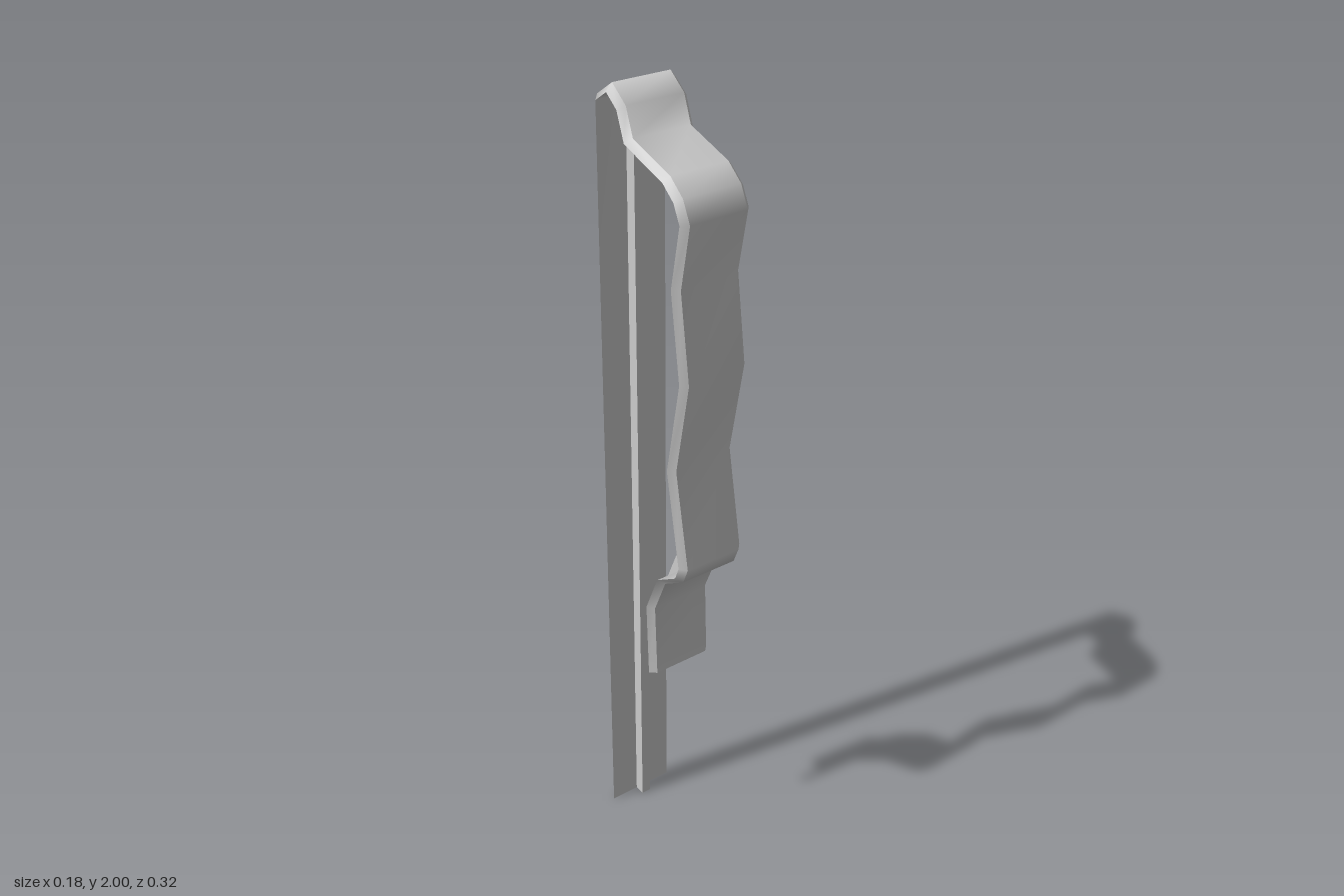
import * as THREE from 'three';
import { mergeGeometries } from 'three/addons/utils/BufferGeometryUtils.js';

const material = new THREE.MeshStandardMaterial({ color: 0xcccccc, side: THREE.DoubleSide });

// Sweeps a four-sided section along a [z, y] path. Depths d0..d1 are measured
// inward from the path; w0 and w1 are the half widths at those depths.
function sweep(path, w0, w1, d0, d1) {
  const dirs = path.slice(1).map((p, i) =>
    new THREE.Vector2(p[0] - path[i][0], p[1] - path[i][1]).normalize());
  const inward = (d) => new THREE.Vector2(d.y, -d.x);
  const rings = path.map(([z, y], i) => {
    const a = inward(dirs[Math.max(i - 1, 0)]);
    const b = inward(dirs[Math.min(i, dirs.length - 1)]);
    const n = a.clone().add(b).divideScalar(1 + a.dot(b)); // mitred corner
    return [[-w0, d0], [w0, d0], [w1, d1], [-w1, d1]]
      .map(([x, d]) => [x, y + n.y * d, z + n.x * d]);
  });
  const build = (points, index) => {
    const g = new THREE.BufferGeometry();
    g.setAttribute('position', new THREE.Float32BufferAttribute(points.flat(), 3));
    g.setIndex(index);
    g.computeVertexNormals();
    return g;
  };
  const parts = [];
  // Each side has its own vertices: smooth along the strip, sharp across it
  for (let s = 0; s < 4; s++) {
    const points = [], index = [];
    rings.forEach((r, i) => {
      points.push(r[s], r[(s + 1) % 4]);
      const k = i * 2;
      if (i < rings.length - 1) index.push(k, k + 2, k + 1, k + 1, k + 2, k + 3);
    });
    parts.push(build(points, index));
  }
  parts.push(build(rings[0], [0, 1, 2, 0, 2, 3]));
  parts.push(build(rings[rings.length - 1], [0, 2, 1, 0, 3, 2]));
  return mergeGeometries(parts);
}

export function createModel() {
  const group = new THREE.Group();
  const add = (name, geometry) => {
    const mesh = new THREE.Mesh(geometry, material);
    mesh.name = name;
    group.add(mesh);
  };

  // Outer line of the bent strip: [z, y]
  const back = [[-0.162, 0], [-0.162, 1.963]];
  const hook = [[-0.106, 2], [-0.058, 1.963], [-0.034, 1.9]];
  const shoulder = [[0.095, 1.858], [0.138, 1.822]];
  const grip = [[0.162, 1.772], [0.132, 1.618], [0.162, 1.406], [0.117, 1.172], [0.162, 0.928]];
  const tail = [[0.145, 0.886], [0.074, 0.842], [0.032, 0.745], [0.04, 0.552]];

  // Thin strip with bevelled outer edges
  const t = 0.015;
  add('clipStrip', sweep([...back, ...hook, ...shoulder, ...grip, ...tail], 0.075, 0.09, 0, t));

  // Stiffening ribs along the inside
  const rib = (name, path, depth) => add(name, sweep(path, 0.013, 0.013, t - 0.002, depth));
  rib('backRib', [...back, ...hook, shoulder[0]], 0.043);
  rib('gripRib', grip, 0.04);
  rib('tailRib', [[0.128, 0.876], ...tail.slice(1)], 0.05);

  return group;
}
